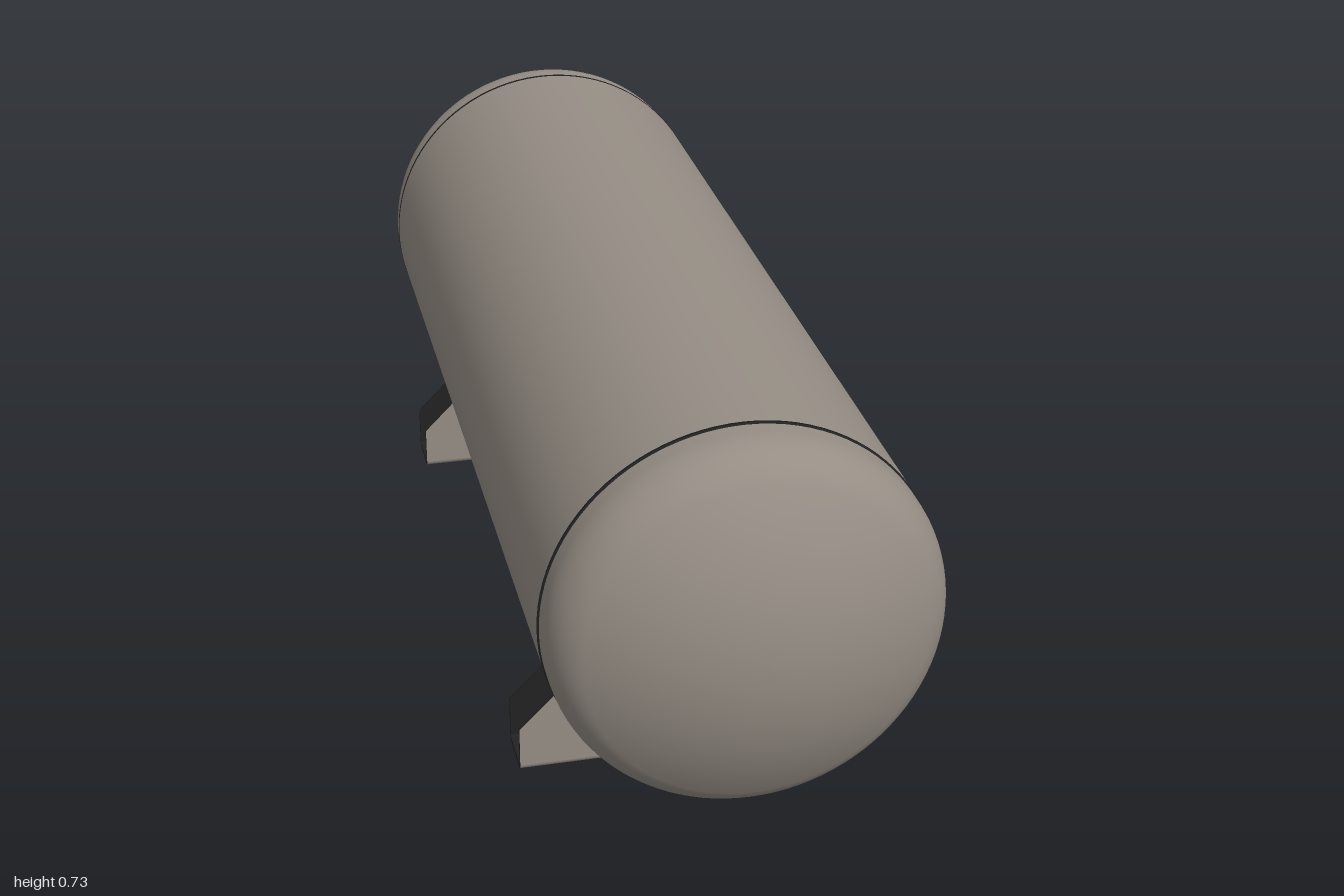
import * as THREE from 'three';

const CX = -0.013, CY = 0.406, R = 0.325; // tank axis and radius

export function createModel() {
  const model = new THREE.Group();
  model.name = 'pressureTank';
  const steel = new THREE.MeshStandardMaterial({ color: 0x968e85 });
  const dark = new THREE.MeshStandardMaterial({ color: 0x222222 });
  steel.name = 'warmGreySteel';
  dark.name = 'darkSteel';

  const add = (parent, name, geometry, material) => {
    const mesh = new THREE.Mesh(geometry, material);
    mesh.name = name;
    parent.add(mesh);
    return mesh;
  };
  const lathe = (points, segments = 96) =>
    new THREE.LatheGeometry(points.map(([r, y]) => new THREE.Vector2(r, y)), segments);

  // Tank: shell, dished heads and dark seams, turned to lie along z
  const tank = new THREE.Group();
  tank.name = 'tank';
  tank.position.set(CX, CY, 0);
  model.add(tank);
  add(tank, 'shell', lathe([[R, -0.806], [R, 0.806]]).rotateX(Math.PI / 2), steel);

  // Head profile: straight flange, knuckle arc, shallow crown arc
  const headR = 0.323, knuckle = 0.1, crown = 0.52;
  const kx = headR - knuckle;
  const crownY = 1 - crown;
  const kneeY = crownY + Math.sqrt((crown - knuckle) ** 2 - kx ** 2);
  const split = Math.asin(kx / (crown - knuckle));
  const profile = [[headR, 0.8]];
  for (let i = 0; i <= 12; i++) {
    const a = Math.PI / 2 + (split - Math.PI / 2) * i / 12;
    profile.push([kx + knuckle * Math.sin(a), kneeY + knuckle * Math.cos(a)]);
  }
  for (let i = 1; i <= 12; i++) {
    const a = split * (1 - i / 12);
    profile.push([crown * Math.sin(a), crownY + crown * Math.cos(a)]);
  }
  for (const [side, turn] of [['front', 0], ['back', Math.PI]]) {
    add(tank, side + 'Head', lathe(profile).rotateX(Math.PI / 2), steel).rotation.y = turn;
    const seam = lathe([[0.318, 0.805], [0.3256, 0.805], [0.3256, 0.811], [0.318, 0.811]]);
    add(tank, side + 'Seam', seam.rotateX(Math.PI / 2), dark).rotation.y = turn;
  }

  // Hollow nozzles, pointing along +y before placement
  const nozzle = (name, r, bore, length) => {
    const group = new THREE.Group();
    group.name = name;
    add(group, 'pipe', lathe([[r, 0], [r, length]], 32), steel);
    add(group, 'rim', new THREE.RingGeometry(bore, r, 32).rotateX(-Math.PI / 2), steel).position.y = length;
    add(group, 'bore', lathe([[bore, length], [bore, length - 0.02], [0, length - 0.02]], 32), dark);
    model.add(group);
    return group;
  };
  const sideNozzle = nozzle('sideNozzle', 0.024, 0.015, 0.045);
  sideNozzle.position.set(0.292, CY, 0.683);
  sideNozzle.rotation.z = -Math.PI / 2;
  const drain = nozzle('drainNozzle', 0.014, 0.009, 0.035);
  drain.position.set(CX, 0.098, -0.74);
  drain.rotation.x = Math.PI;

  // Saddles: open channels with a grey outer skin and a dark inner skin
  const half = 0.324, depth = 0.05, bend = 0.012, skin = 0.003, liner = 0.004;
  const extrude = (shape, d) =>
    new THREE.ExtrudeGeometry(shape, { depth: d, bevelEnabled: false, curveSegments: 32 });

  const cheek = new THREE.Shape();
  const top = 0.165;
  const cut = Math.asin((CY - top) / R); // angle below horizontal where the cradle starts
  cheek.moveTo(-half, bend);
  cheek.lineTo(half, bend);
  cheek.lineTo(half, 0.083);
  cheek.lineTo(0.243, top);
  cheek.lineTo(R * Math.cos(cut), top);
  cheek.absarc(0, CY, R, -cut, -Math.PI + cut, true);
  cheek.lineTo(-0.243, top);
  cheek.lineTo(-half, 0.083);
  cheek.closePath();

  const w = depth - bend;
  const base = new THREE.Shape();
  base.moveTo(-half, -w);
  base.lineTo(half, -w);
  base.lineTo(half, w);
  base.lineTo(-half, w);
  base.closePath();
  for (const x of [-0.285, 0.285]) {
    const hole = new THREE.Path();
    hole.absarc(x, 0, 0.008, 0, Math.PI * 2, true);
    base.holes.push(hole);
  }

  const corner = (outer, inner) => {
    const s = new THREE.Shape();
    s.absarc(0, 0, outer, -Math.PI / 2, 0, false);
    s.absarc(0, 0, inner, 0, -Math.PI / 2, true);
    s.closePath();
    return extrude(s, half * 2).translate(0, 0, -half).rotateY(-Math.PI / 2);
  };

  const saddle = (name, z) => {
    const group = new THREE.Group();
    group.name = name;
    group.position.set(CX, 0, z);
    model.add(group);
    for (const turn of [0, Math.PI]) {
      const side = new THREE.Group();
      side.name = 'cheek';
      side.rotation.y = turn;
      group.add(side);
      add(side, 'outerPlate', extrude(cheek, skin).translate(0, 0, depth - skin), [steel, dark]);
      add(side, 'innerPlate', extrude(cheek, liner).translate(0, 0, depth - skin - liner), dark);
      for (const [part, a, b, m] of [['outerBend', bend, bend - skin, [dark, steel]],
        ['innerBend', bend - skin, bend - skin - liner, dark]]) {
        add(side, part, corner(a, b), m).position.set(0, bend, w);
      }
    }
    add(group, 'basePlate', extrude(base, skin).rotateX(-Math.PI / 2), [steel, dark]);
    add(group, 'baseLiner', extrude(base, liner).rotateX(-Math.PI / 2).translate(0, skin, 0), dark);
  };
  saddle('frontSaddle', 0.555);
  saddle('backSaddle', -0.555);

  return model;
}
